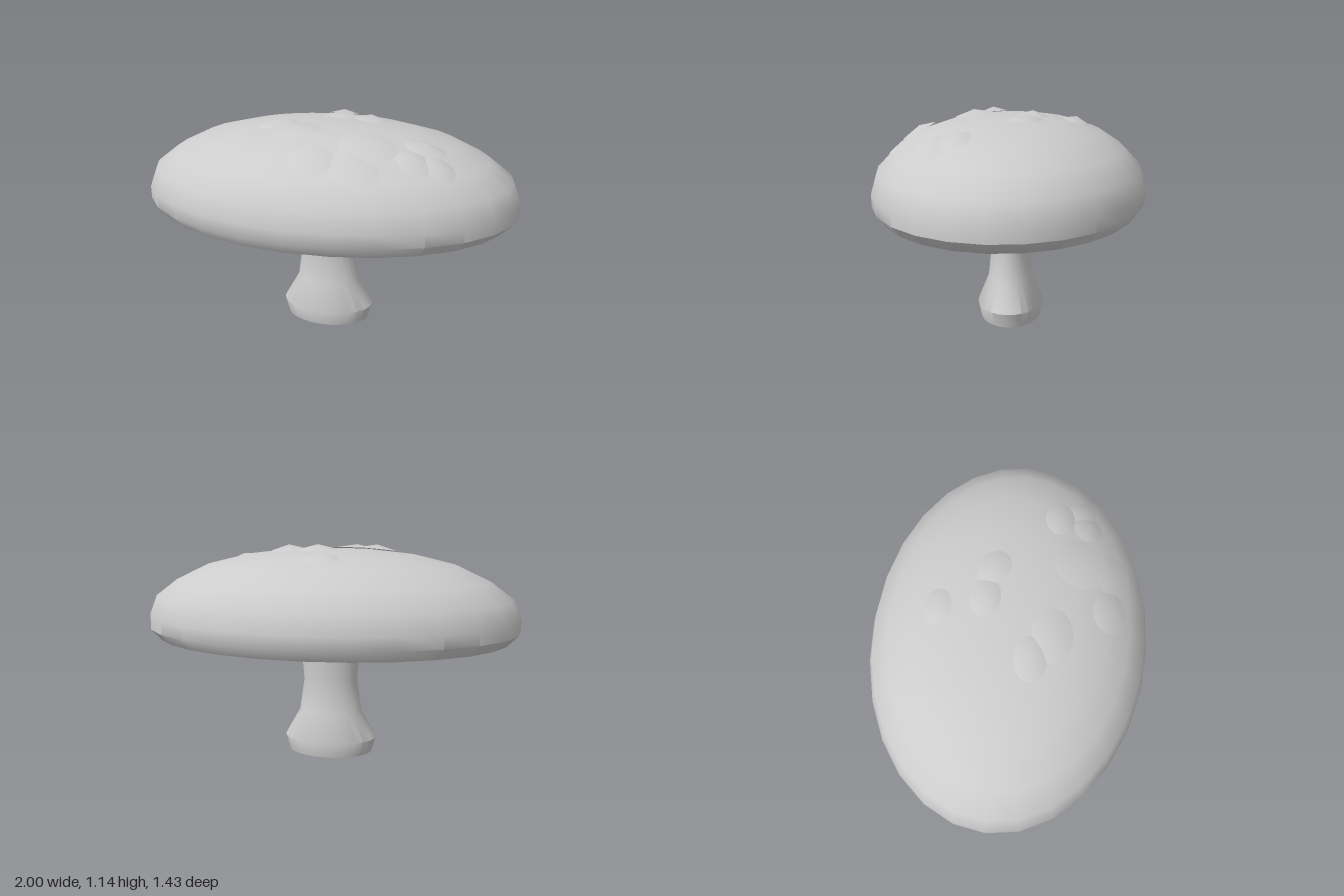
import * as THREE from 'three';
import { toCreasedNormals } from 'three/addons/utils/BufferGeometryUtils.js';

const SIDES = 28;
const DEPTH = 0.713; // the mushroom is oval: depth over width

// Profiles run from the bottom axis up to the top axis
const capProfile = [
  [0, 0.548], [0.155, 0.55], [0.945, 0.64], [1, 0.695], [1, 0.76], [0.96, 0.86],
  [0.84, 0.95], [0.67, 1.03], [0.45, 1.083], [0.23, 1.108], [0, 1.115],
];
const stemProfile = [
  [0, 0], [0.232, 0], [0.254, 0.08], [0.173, 0.225], [0.148, 0.4], [0.16, 0.56], [0, 0.56],
];

// Warts: centre x, centre z, radius x, radius z, turn
const warts = [
  [-0.015, -0.345, 0.095, 0.07, 0],
  [0.045, -0.12, 0.105, 0.076, 0],
  [0.205, -0.095, 0.1, 0.077, 0.45],
  [-0.235, 0.125, 0.11, 0.08, 0],
  [-0.11, 0.215, 0.135, 0.1, 0],
  [0.293, 0.322, 0.14, 0.132, 0],
  [0.545, 0.2, 0.103, 0.074, 0],
  [0.52, 0.345, 0.085, 0.073, 0],
  [0.625, 0.315, 0.083, 0.073, 0],
  [0.065, 0.48, 0.112, 0.083, 0],
  [0.272, 0.492, 0.12, 0.09, 0],
];

function lathe(profile) {
  return new THREE.LatheGeometry(profile.map(([r, y]) => new THREE.Vector2(r, y)), SIDES);
}

// Height of the cap's upper surface
function capHeight(x, z) {
  const r = Math.min(Math.hypot(x, z / DEPTH), 0.959);
  for (let i = capProfile.length - 1; i > 5; i--) {
    const [r0, y0] = capProfile[i];
    const [r1, y1] = capProfile[i - 1];
    if (r <= r1) return y0 + (y1 - y0) * (r - r0) / (r1 - r0);
  }
  return 0.86;
}

// Low cone sheared to lie along the slope of the cap
function wartGeometry([cx, cz, rx, rz, turn]) {
  const d = 0.09;
  const slopeX = (capHeight(cx + d, cz) - capHeight(cx - d, cz)) / (2 * d);
  const slopeZ = (capHeight(cx, cz + d) - capHeight(cx, cz - d)) / (2 * d);
  const base = capHeight(cx, cz) + 0.003;
  const geo = lathe([[0, 0], [1, 0], [0, 0.027]]);
  geo.scale(rx, 1, rz).rotateY(-turn);
  const p = geo.attributes.position;
  for (let i = 0; i < p.count; i++) {
    const x = p.getX(i), z = p.getZ(i);
    p.setXYZ(i, cx + x, base + p.getY(i) + slopeX * x + slopeZ * z, cz + z);
  }
  geo.computeVertexNormals();
  return geo;
}

export function createModel() {
  const group = new THREE.Group();
  const grey = new THREE.MeshStandardMaterial({ color: 0xcccccc });
  grey.name = 'grey';

  const add = (name, geo, crease = 0.7) => {
    const mesh = new THREE.Mesh(toCreasedNormals(geo, crease), grey);
    mesh.name = name;
    group.add(mesh);
  };

  add('stem', lathe(stemProfile).scale(1, 1, DEPTH));
  add('cap', lathe(capProfile).scale(1, 1, DEPTH));
  warts.forEach((w, i) => add(`wart${i + 1}`, wartGeometry(w)));
  return group;
}
